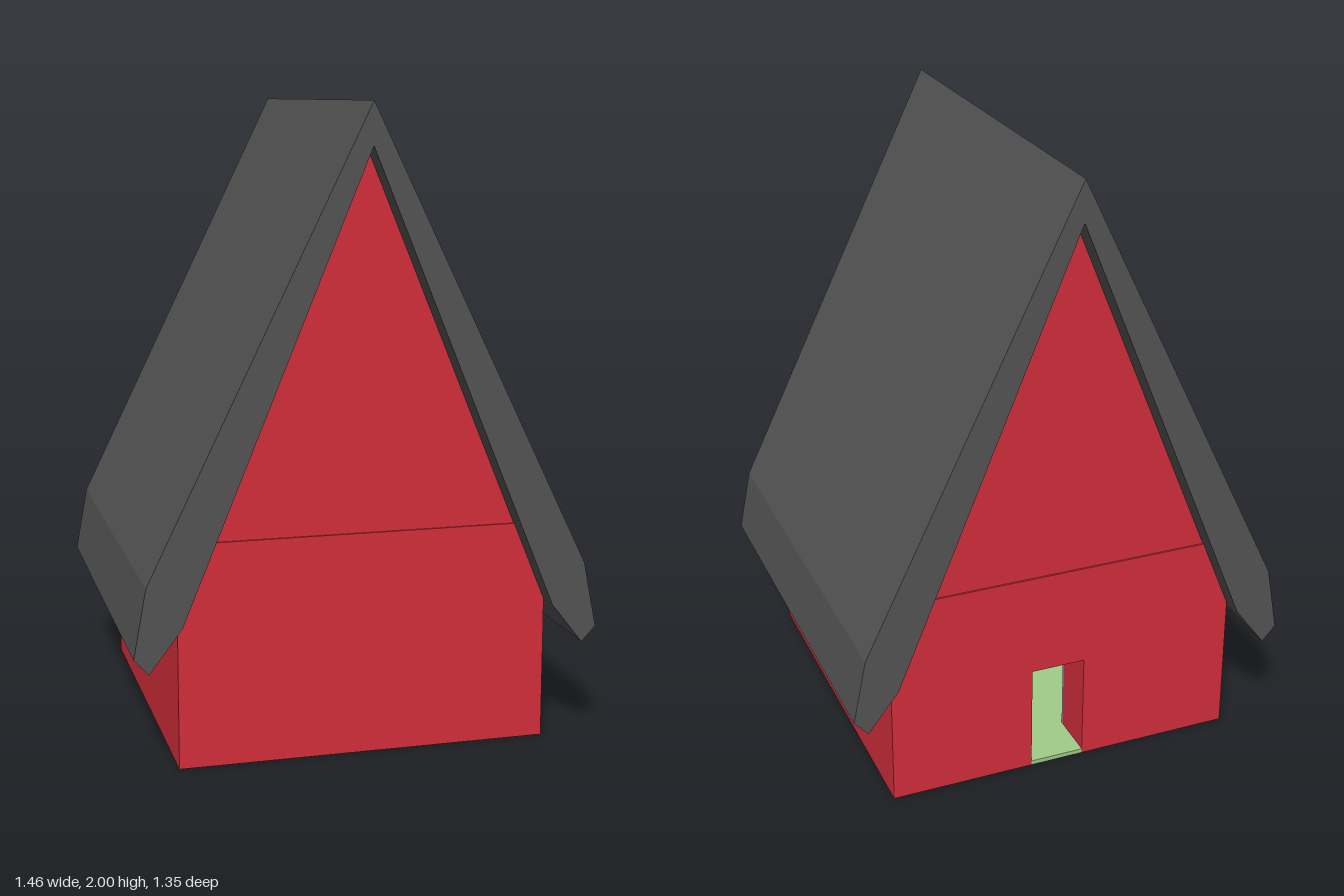
import * as THREE from 'three';

const paint = (color) => new THREE.MeshStandardMaterial({ color });
const RED = paint(0xd42e3c), SLATE = paint(0x545454), GREEN = paint(0xa0cc88), BLUE = paint(0x86a8e0);

// Outer half sizes, wall height and wall thicknesses
const W = 0.585, D = 0.6, H = 0.7, TX = 0.12, TZ = 0.155;
const IW = W - TX, ID = D - TZ;
// Doorway in the back wall
const DOOR = { x0: -0.07, x1: 0.11, h: 0.36 };

function add(group, name, geometry, material, x = 0, y = 0, z = 0) {
  const mesh = new THREE.Mesh(geometry, material);
  mesh.name = name;
  mesh.position.set(x, y, z);
  group.add(mesh);
  return mesh;
}

const box = (w, h, d) => new THREE.BoxGeometry(w, h, d);

// Extrudes an outline along z, centred on z = 0
function prism(points, depth) {
  const shape = new THREE.Shape(points.map(([x, y]) => new THREE.Vector2(x, y)));
  const geometry = new THREE.ExtrudeGeometry(shape, { depth, bevelEnabled: false });
  return geometry.translate(0, 0, -depth / 2);
}

// Wall outline with the doorway notched out of its bottom edge
const doorWall = (half) => [
  [-half, 0], [DOOR.x0, 0], [DOOR.x0, DOOR.h], [DOOR.x1, DOOR.h],
  [DOOR.x1, 0], [half, 0], [half, H], [-half, H],
];

export function createModel() {
  const house = new THREE.Group();
  house.name = 'house';

  // Thick outer walls
  const walls = new THREE.Group();
  walls.name = 'walls';
  house.add(walls);
  add(walls, 'frontWall', box(2 * W, H, TZ), RED, 0, H / 2, D - TZ / 2);
  add(walls, 'backWall', prism(doorWall(W), TZ), RED, 0, 0, -D + TZ / 2);
  for (const [name, s] of [['leftWall', 1], ['rightWall', -1]])
    add(walls, name, box(TX, H, 2 * ID), RED, s * (W - TX / 2), H / 2, 0);

  // Painted lining of the room
  const lining = new THREE.Group();
  lining.name = 'roomLining';
  house.add(lining);
  const t = 0.008;
  add(lining, 'frontLining', box(2 * IW, H, t), BLUE, 0, H / 2, ID - t / 2);
  add(lining, 'backLining', prism(doorWall(IW), t), BLUE, 0, 0, -ID + t / 2);
  for (const [name, s] of [['leftLining', 1], ['rightLining', -1]])
    add(lining, name, box(t, H, 2 * ID), BLUE, s * (IW - t / 2), H / 2, 0);

  // Floor, with a sill running out through the doorway, and ceiling
  const f = 0.015;
  add(house, 'floor', box(2 * IW, f, 2 * ID), GREEN, 0, f / 2, 0);
  add(house, 'doorSill', box(DOOR.x1 - DOOR.x0, f, TZ), GREEN,
    (DOOR.x0 + DOOR.x1) / 2, f / 2, -D + TZ / 2);
  add(house, 'ceiling', box(2 * IW, f, 2 * ID), GREEN, 0, H - f / 2, 0);

  // Gable block above the walls, set back a hair; its slopes sit inside the roof
  add(house, 'gable', prism([[-0.51, H], [0.51, H], [0, 1.92]], 2 * D - 0.012), RED);

  // Steep roof with turned-down eaves
  add(house, 'roof', prism([
    [-0.003, 2], [-0.69, 0.595], [-0.73, 0.38], [-0.685, 0.33], [-0.583, 0.465],
    [-0.003, 1.87],
    [0.585, 0.45], [0.685, 0.323], [0.73, 0.372], [0.688, 0.58],
  ], 1.35), SLATE);

  return house;
}
